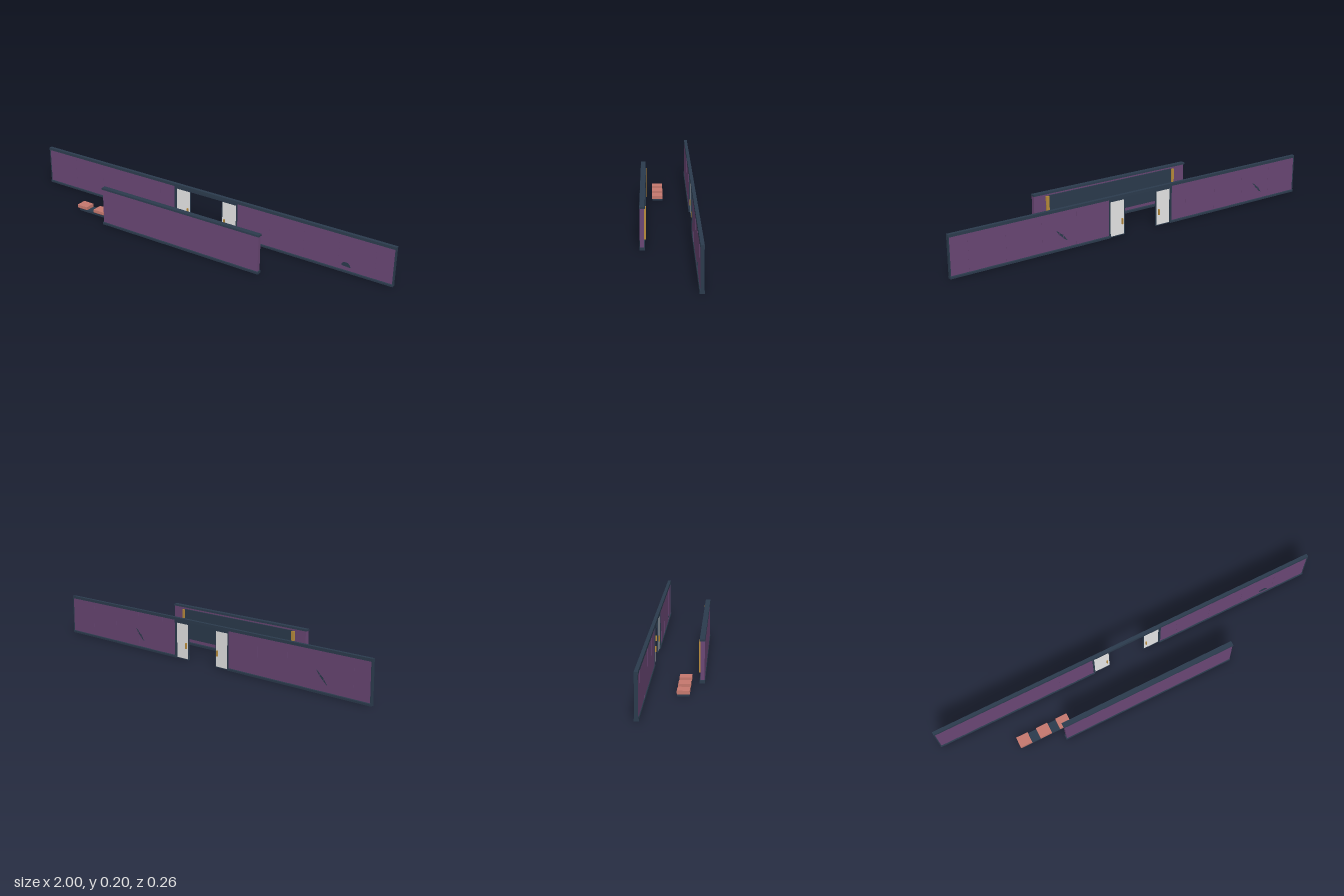
import * as THREE from 'three';

const mat = (name, color, side = THREE.FrontSide) => {
  const m = new THREE.MeshStandardMaterial({ color, side });
  m.name = name;
  return m;
};

export function createModel() {
  const purple = mat('purple wall', 0x6a4775);
  const navy = mat('dark blue trim', 0x2b3b4d);
  const salmon = mat('salmon cushion', 0xc5786e);
  const gold = mat('gold', 0xb98c3c);
  const white = mat('white door', 0xf8f8f8);

  const root = new THREE.Group();
  root.name = 'corridorSet';
  const group = (name) => {
    const g = new THREE.Group();
    g.name = name;
    root.add(g);
    return g;
  };
  // box given by its minimum and maximum on each axis
  const box = (parent, name, m, [x0, x1], [y0, y1], [z0, z1]) => {
    const mesh = new THREE.Mesh(new THREE.BoxGeometry(x1 - x0, y1 - y0, z1 - z0), m);
    mesh.position.set((x0 + x1) / 2, (y0 + y1) / 2, (z0 + z1) / 2);
    mesh.name = name;
    parent.add(mesh);
    return mesh;
  };
  // long bar along x with a y/z cross-section
  const bar = (parent, name, m, x0, x1, section) => {
    const shape = new THREE.Shape(section.map(([z, y]) => new THREE.Vector2(-z, y)));
    const geo = new THREE.ExtrudeGeometry(shape, { depth: x1 - x0, bevelEnabled: false });
    geo.rotateY(Math.PI / 2);
    const mesh = new THREE.Mesh(geo, m);
    mesh.position.x = x0;
    mesh.name = name;
    parent.add(mesh);
  };
  // skirting and cornice with slightly sloped sides
  const skirting = (z, h, y) => [[z - h, 0], [z + h, 0], [z + h, y * 0.7], [z + h * 0.85, y], [z - h * 0.85, y], [z - h, y * 0.7]];
  const cornice = (z, h, y) => [[z - h, y], [z + h, y], [z + h * 0.92, 0.2], [z - h * 0.92, 0.2]];

  // long back wall: two runs of panels either side of the doorway
  const back = group('backWall');
  const pitch = 2 / 22, zb = -0.1195;
  for (const s of [-1, 1]) {
    const span = (a, b) => (s > 0 ? [a, b] : [-b, -a]);
    for (let i = 2; i < 11; i++) {
      const t = i % 2 ? 0.0072 : 0.0066;
      box(back, 'wallPanel', purple, span(i * pitch, Math.min((i + 1) * pitch, 0.997)), [0.008, 0.19], [zb - t, zb + t]);
    }
    box(back, 'endPost', navy, span(0.995, 1), [0.008, 0.19], [zb - 0.0078, zb + 0.0078]);
    box(back, 'doorJamb', navy, span(0.176, 0.183), [0, 0.19], [zb - 0.009, zb + 0.009]);
    const [b0, b1] = span(0.178, 1);
    bar(back, 'skirting', navy, b0, b1, skirting(zb, 0.0105, 0.012));
  }
  bar(back, 'cornice', navy, -1, 1, cornice(zb, 0.0088, 0.187));
  box(back, 'doorHeader', navy, [-0.18, 0.18], [0.177, 0.19], [zb - 0.007, zb + 0.007]);

  // pair of half-open sliding doors
  for (const s of [-1, 1]) {
    const door = group(s > 0 ? 'leftDoor' : 'rightDoor');
    const span = (a, b) => (s > 0 ? [a, b] : [-b, -a]);
    box(door, 'doorLeaf', white, span(0.094, 0.176), [0.004, 0.176], [zb - 0.003, zb + 0.003]);
    for (const a of [0.092, 0.173]) box(door, 'doorStile', navy, span(a, a + 0.003), [0, 0.177], [zb - 0.004, zb + 0.004]);
    for (const y of [0, 0.174]) box(door, 'doorRail', navy, span(0.092, 0.176), [y, y + 0.004], [zb - 0.004, zb + 0.004]);
    box(door, 'doorHandle', gold, span(0.104, 0.110), [0.055, 0.083], [zb - 0.0115, zb + 0.0095]);
  }

  // thin flat marks on the wall
  const plate = (name, pts, z) => {
    const geo = new THREE.ExtrudeGeometry(new THREE.Shape(pts.map(([x, y]) => new THREE.Vector2(x, y))), { depth: 0.0015, bevelEnabled: false });
    const mesh = new THREE.Mesh(geo, navy);
    mesh.position.z = z;
    mesh.name = name;
    back.add(mesh);
  };
  plate('wallHole', [[0.745, 0.033], [0.79, 0.03], [0.786, 0.042], [0.775, 0.052], [0.757, 0.052], [0.746, 0.045]], zb + 0.0072);
  for (const x of [0.444, -0.739]) {
    const top = [[0.03, 0.103], [0.012, 0.09], [0.014, 0.08], [-0.008, 0.075], [-0.006, 0.062], [-0.027, 0.048]];
    const low = [...top].reverse().map(([a, b]) => [a - 0.004, b - 0.005]);
    plate('wallCrack', [...top, ...low].map(([a, b]) => [x + a, b]), zb - 0.0087);
  }

  // shorter front wall
  const front = group('frontWall');
  const zf = 0.1185;
  box(front, 'wallBody', purple, [-0.445, 0.443], [0.006, 0.195], [0.11, 0.129]);
  bar(front, 'skirting', navy, -0.45, 0.446, skirting(zf, 0.0128, 0.014));
  bar(front, 'cornice', navy, -0.45, 0.446, cornice(zf, 0.0128, 0.191));

  // large board on the inner face, with gold side strips
  const board = group('wallBoard');
  box(board, 'boardPanel', navy, [-0.365, 0.365], [0.031, 0.183], [0.104, 0.111]);
  for (const s of [-1, 1])
    box(board, 'boardSideStrip', gold, s > 0 ? [0.363, 0.379] : [-0.379, -0.363], [0.031, 0.181], [0.102, 0.111]);

  // low bench: dark base with three cushions
  const bench = group('bench');
  box(bench, 'benchBase', navy, [-0.65, -0.405], [0, 0.011], [0.02, 0.072]);
  const pad = [[0.019, 0.011], [0.072, 0.011], [0.074, 0.014], [0.073, 0.028], [0.02, 0.028], [0.018, 0.025]];
  for (const x of [-0.662, -0.558, -0.455]) bar(bench, 'benchCushion', salmon, x, x + 0.06, pad);

  return root;
}
